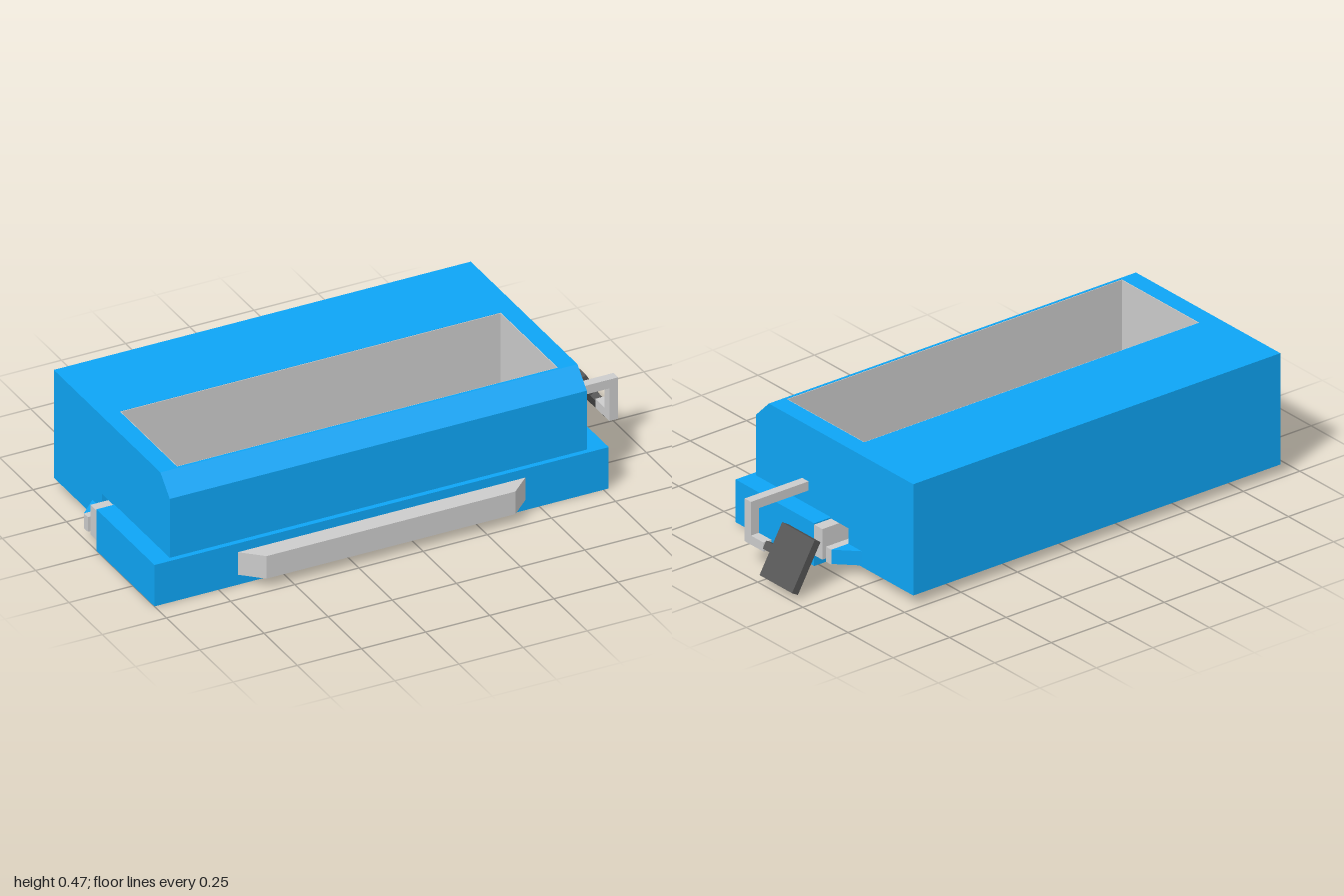
import * as THREE from 'three';

const mat = (color) => new THREE.MeshStandardMaterial({ color, flatShading: true });
const X0 = -0.115; // centre line of the body, shifted by the side crank

export function createModel() {
  const blue = mat(0x0ea5f5), grey = mat(0xcccccc), dark = mat(0x555555), red = mat(0xcc4422);
  const model = new THREE.Group();

  const add = (name, geometry, material) => {
    const mesh = new THREE.Mesh(geometry, material);
    mesh.name = name;
    model.add(mesh);
    return mesh;
  };
  // Box given by its limits
  const box = (name, m, x1, x2, y1, y2, z1, z2) => {
    const g = new THREE.BoxGeometry(x2 - x1, y2 - y1, z2 - z1);
    return add(name, g.translate((x1 + x2) / 2, (y1 + y2) / 2, (z1 + z2) / 2), m);
  };
  const extrude = (pts, depth) => new THREE.ExtrudeGeometry(
    new THREE.Shape(pts.map(([a, b]) => new THREE.Vector2(a, b))), { depth, bevelEnabled: false });
  // Plan outline [x, z], raised from y1 to y2
  const plan = (name, m, pts, y1, y2) =>
    add(name, extrude(pts.map(([x, z]) => [x, -z]), y2 - y1).rotateX(-Math.PI / 2).translate(0, y1, 0), m);
  // Side profile [z, y], spanning x1 to x2
  const side = (name, m, pts, x1, x2) =>
    add(name, extrude(pts.map(([z, y]) => [-z, y]), x2 - x1).rotateY(Math.PI / 2).translate(x1, 0, 0), m);

  // Base with a tapered recess below, open at the back
  box('base', blue, -1, 0.77, 0.042, 0.165, -0.025, 0.41);
  plan('baseRim', blue, [
    [-1, 0.41], [0.77, 0.41], [0.77, -0.025], [X0 + 0.715, -0.025],
    [X0 + 0.63, 0.29], [X0 - 0.63, 0.29], [X0 - 0.715, -0.025], [-1, -0.025],
  ], 0, 0.042);
  plan('recessPlate', grey, [
    [X0 - 0.63, 0.29], [X0 + 0.63, 0.29], [X0 + 0.715, -0.025], [X0 - 0.715, -0.025],
  ], 0.037, 0.043);
  box('warningPatch', red, 0.10, 0.43, 0.034, 0.038, 0.15, 0.235);

  // Body: back block, chamfered front wall and end walls around an open tray
  box('backBlock', blue, -0.93, 0.695, 0.04, 0.47, -0.48, -0.12);
  const front = [[0.39, 0.16], [0.39, 0.4], [0.32, 0.47]];
  side('frontWall', blue, [...front, [0.31, 0.47], [0.31, 0.16]], -0.86, 0.625);
  for (const x of [-0.93, 0.625])
    side('endWall', blue, [...front, [-0.12, 0.47], [-0.12, 0.16]], x, x + 0.07);

  // Grey lining of the tray
  const t = 0.003;
  box('trayLining', grey, -0.86, 0.625, 0.06, 0.469, -0.12, -0.12 + t);
  box('trayLining', grey, -0.86, 0.625, 0.165, 0.469, 0.31 - t, 0.31);
  for (const x of [-0.86, 0.625 - t]) box('trayLining', grey, x, x + t, 0.16, 0.469, -0.12, 0.31);

  // Slotted guide: two rails joined by bridges
  box('frontRail', grey, -1, 0.77, 0.042, 0.16, -0.07, -0.025);
  box('backRail', grey, -1, 0.77, 0.042, 0.1, -0.12, -0.09);
  for (const [a, b] of [[-0.28, 0.05], [0.34, 0.48]])
    box('railBridge', grey, a, b, 0.042, 0.06, -0.09, -0.07);

  // Triangular ears behind the rail ends
  for (const s of [1, -1]) {
    const tri = [[X0 + s * 0.81, -0.12], [X0 + s * 0.885, -0.12], [X0 + s * 0.81, -0.195]];
    plan('ear', blue, tri, 0.045, 0.1);
  }

  // Front handle with tapered ends
  plan('frontHandle', grey, [[-0.675, 0.41], [-0.6, 0.48], [0.37, 0.48], [0.445, 0.41]], 0.04, 0.13);

  // Rear foot, its ends sloping inward toward the ground
  const foot = extrude([[X0 - 0.71, 0.04], [X0 - 0.67, 0], [X0 + 0.67, 0], [X0 + 0.71, 0.04]], 0.075);
  add('rearFoot', foot.translate(0, 0, -0.335), grey);

  // Side crank
  box('crankShaft', grey, 0.695, 0.95, 0.22, 0.255, 0.1, 0.135);
  box('crankArm', grey, 0.915, 0.95, 0.09, 0.22, 0.1, 0.135);
  box('crankFoot', grey, 0.915, 0.95, 0.09, 0.125, 0.03, 0.1);
  const pin = box('paddlePin', dark, -0.013, 0.013, -0.015, 0.015, -0.02, 0.03);
  pin.position.set(0.935, 0.11, 0);
  pin.rotation.z = Math.PI / 6;
  const paddle = add('crankPaddle', new THREE.BoxGeometry(0.03, 0.2, 0.18), dark);
  paddle.position.set(0.937, 0.11, -0.1);
  paddle.rotation.z = Math.PI / 6;

  return model;
}
